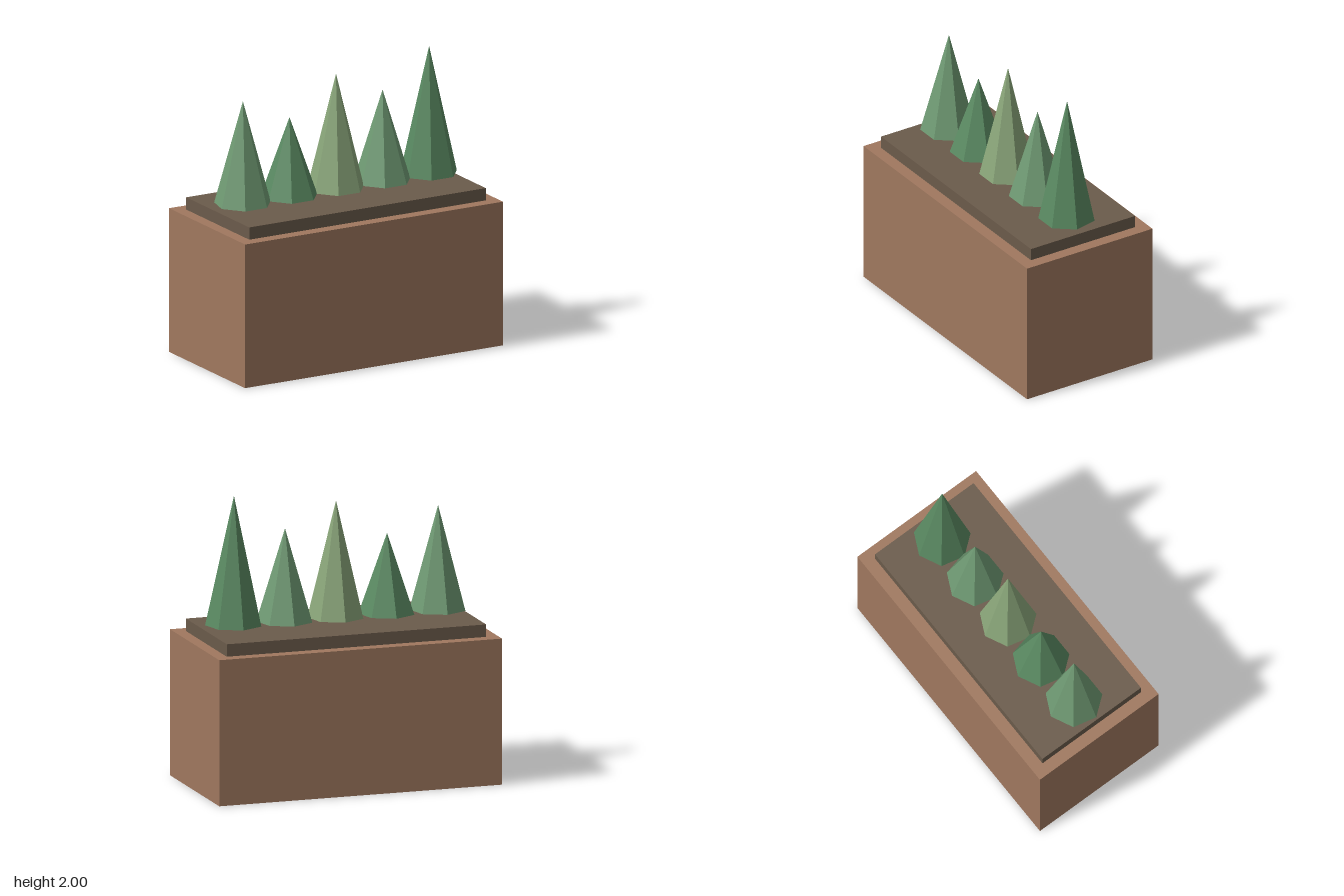
import * as THREE from 'three';

const material = (color) => new THREE.MeshStandardMaterial({ color, flatShading: true });

// Box standing on height y
function slab(name, width, height, depth, y, color) {
  const mesh = new THREE.Mesh(new THREE.BoxGeometry(width, height, depth), material(color));
  mesh.position.y = y + height / 2;
  mesh.name = name;
  return mesh;
}

// Seven-sided cone plant with one corner pointing to the back
function plant(index, x, topY, color) {
  const baseY = 1.118;
  const height = topY - baseY;
  const mesh = new THREE.Mesh(new THREE.ConeGeometry(0.194, height, 7), material(color));
  mesh.rotation.y = Math.PI;
  mesh.position.set(x, baseY + height / 2, 0);
  mesh.name = `plant${index + 1}`;
  return mesh;
}

export function createModel() {
  const group = new THREE.Group();
  group.name = 'planter';

  // Planter box and soil bed
  group.add(slab('planterBox', 2, 1, 1, 0, 0xa0785f));
  group.add(slab('soil', 1.835, 0.085, 0.83, 1, 0x6b5b4b));

  // Row of plants, left to right seen from the front
  const plants = [
    [1.83, 0x6f9a73],
    [1.665, 0x5a8a62],
    [1.915, 0x8aa67a],
    [1.75, 0x6f9a73],
    [2.0, 0x5a8a62],
  ];
  plants.forEach(([topY, color], i) => group.add(plant(i, (i - 2) * 0.361, topY, color)));

  return group;
}
